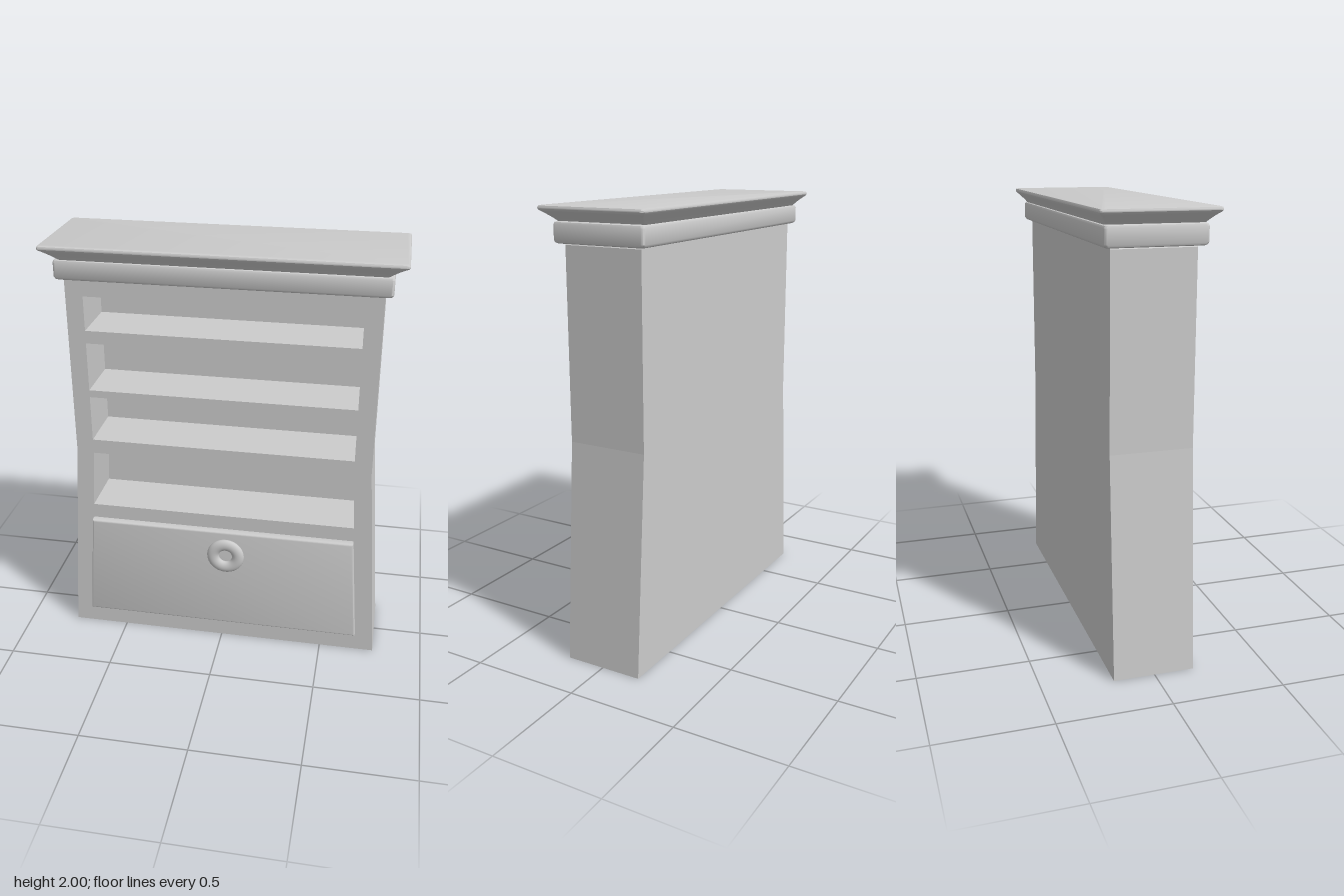
import * as THREE from 'three';
import { toCreasedNormals } from 'three/addons/utils/BufferGeometryUtils.js';

const material = new THREE.MeshStandardMaterial({ color: 0xcccccc });

const BACK = -0.185, RECESS = -0.075, FRONT = 0.18;

function part(name, geometry) {
  const mesh = new THREE.Mesh(geometry, material);
  mesh.name = name;
  return mesh;
}

// Points of a shape that is symmetric about x = 0, from [halfWidth, y] pairs going up
function mirrored(side) {
  const right = side.map(([x, y]) => new THREE.Vector2(x, y));
  const left = side.map(([x, y]) => new THREE.Vector2(-x, y)).reverse();
  return [...right, ...left];
}

// Extrudes a shape from z0 to z1
function slab(shape, z0, z1) {
  const g = new THREE.ExtrudeGeometry(shape, { depth: z1 - z0, bevelEnabled: false });
  return g.translate(0, 0, z0);
}

// Lofts rounded rectangles [halfWidth, halfDepth, y] from bottom to top and caps both ends
function rectLoft(sections, radius) {
  const positions = [], index = [], steps = 4, n = 4 * (steps + 1);
  const corners = [[1, 1], [-1, 1], [-1, -1], [1, -1]];
  for (const [w, d, y] of sections) {
    corners.forEach(([sx, sz], c) => {
      for (let i = 0; i <= steps; i++) {
        const a = (c + i / steps) * Math.PI / 2;
        positions.push(sx * (w - radius) + radius * Math.cos(a), y,
          sz * (d - radius) + radius * Math.sin(a));
      }
    });
  }
  for (let r = 0; r < sections.length - 1; r++) {
    for (let i = 0; i < n; i++) {
      const a = r * n + i, b = r * n + (i + 1) % n;
      index.push(a, a + n, b, b, a + n, b + n);
    }
  }
  const top = (sections.length - 1) * n;
  for (let i = 1; i < n - 1; i++) {
    index.push(0, i, i + 1, top, top + i + 1, top + i);
  }
  const g = new THREE.BufferGeometry();
  g.setAttribute('position', new THREE.Float32BufferAttribute(positions, 3));
  g.setIndex(index);
  return toCreasedNormals(g, 0.6);
}

export function createModel() {
  const model = new THREE.Group();
  model.name = 'bookcase';

  // Case outline: straight upper half, flared lower half
  const outline = mirrored([[0.765, 0], [0.695, 1.0], [0.695, 1.838], [0.688, 1.846]]);

  // Shelf openings: [bottom y, top y, bottom half width, top half width]
  const openings = [
    [1.605, 1.765, 0.615, 0.615],
    [1.315, 1.545, 0.615, 0.615],
    [1.06, 1.28, 0.615, 0.615],
    [0.705, 0.99, 0.632, 0.615],
  ];
  const frame = new THREE.Shape(outline);
  for (const [y0, y1, w0, w1] of openings) {
    frame.holes.push(new THREE.Path(mirrored([[w0, y0], [w1, y1]])));
  }
  model.add(part('shelfFrame', slab(frame, RECESS, FRONT)));
  model.add(part('backPanel', slab(new THREE.Shape(outline), BACK, RECESS)));

  // Drawer front with softened edges
  const bevel = 0.01;
  const drawer = new THREE.ExtrudeGeometry(
    new THREE.Shape(mirrored([[0.663, 0.112], [0.626, 0.623]])),
    { depth: 0.025, bevelThickness: bevel, bevelSize: bevel, bevelSegments: 3 });
  drawer.translate(0, 0, FRONT);
  model.add(part('drawerFront', toCreasedNormals(drawer, 0.6)));

  // Flattened ring pull
  const pull = part('drawerPull', new THREE.TorusGeometry(0.061, 0.029, 20, 48));
  pull.scale.z = 0.65;
  pull.position.set(0.03, 0.515, 0.234);
  model.add(pull);

  // Fascia band under the cornice
  model.add(part('fascia', rectLoft([
    [0.718, 0.206, 1.845], [0.726, 0.213, 1.849], [0.73, 0.218, 1.858],
    [0.73, 0.218, 1.922], [0.726, 0.214, 1.931], [0.718, 0.206, 1.935],
  ], 0.015)));

  // Cornice: concave flare with a thin rounded lip
  const cove = [];
  for (let i = 0; i <= 8; i++) {
    const t = i / 8, out = 0.75 * t + 0.25 * t * t;
    cove.push([0.7 + 0.082 * out, 0.203 + 0.045 * out, 1.925 + 0.055 * t]);
  }
  model.add(part('cornice', rectLoft([
    ...cove, [0.786, 0.252, 1.986], [0.786, 0.252, 1.992], [0.783, 0.249, 1.998], [0.776, 0.242, 2.0],
  ], 0.015)));

  return model;
}
